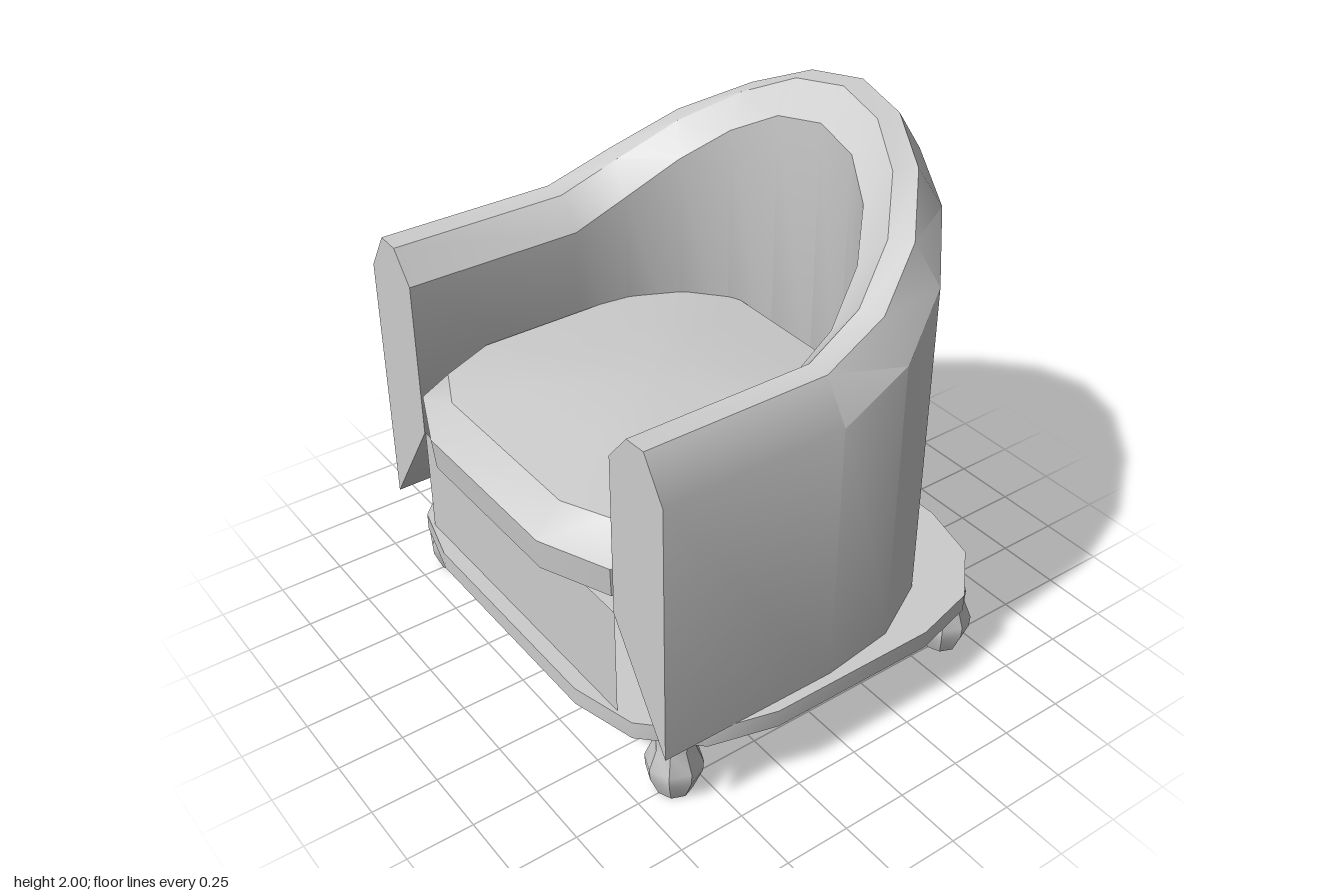
import * as THREE from 'three';
import { toCreasedNormals } from 'three/addons/utils/BufferGeometryUtils.js';

// Skin a closed surface over rings of [x, y, z] points, capped at both ends.
function loft(rings, crease = 0.6) {
  const pos = [];
  const n = rings[0].length;
  const tri = (a, b, c) => pos.push(...a, ...b, ...c);
  const centre = (ring) => [0, 1, 2].map((k) => ring.reduce((s, p) => s + p[k], 0) / n);
  const first = rings[0], last = rings[rings.length - 1];
  const c0 = centre(first), c1 = centre(last);
  for (let j = 0; j < n; j++) {
    const k = (j + 1) % n;
    for (let i = 0; i < rings.length - 1; i++) {
      const a = rings[i], b = rings[i + 1];
      tri(a[j], a[k], b[k]);
      tri(a[j], b[k], b[j]);
    }
    tri(c0, first[k], first[j]);
    tri(c1, last[j], last[k]);
  }
  const geo = new THREE.BufferGeometry();
  geo.setAttribute('position', new THREE.Float32BufferAttribute(pos, 3));
  return toCreasedNormals(geo, crease);
}

// Full outline from its +x half, listed front to back.
const mirrorOutline = (half) => [...half, ...half.map(([x, z]) => [-x, z]).reverse()];

export function createModel() {
  const group = new THREE.Group();
  const grey = new THREE.MeshStandardMaterial({ color: 0xcccccc, side: THREE.DoubleSide });
  grey.name = 'light grey';
  const add = (name, geo, x = 0, y = 0, z = 0) => {
    const mesh = new THREE.Mesh(geo, grey);
    mesh.name = name;
    mesh.position.set(x, y, z);
    group.add(mesh);
  };

  // Curved back and arms: [inner x, inner z, outer x, outer z, top height]
  const half = [
    [0.625, 0.745, 0.905, 0.745, 1.5],
    [0.625, 0.05, 0.905, 0.05, 1.5],
    [0.59, -0.15, 0.865, -0.24, 1.6],
    [0.5, -0.33, 0.73, -0.49, 1.74],
    [0.365, -0.465, 0.49, -0.71, 1.87],
    [0.2, -0.55, 0.25, -0.82, 1.965],
  ];
  const stations = [
    ...half,
    [0, -0.58, 0, -0.86, 2],
    ...half.map(([a, b, c, d, h]) => [-a, b, -c, d, h]).reverse(),
  ];
  const section = ([ix, iz, ox, oz, h]) => [
    [0, 0.76], [0, h - 0.12], [0.34, h - 0.005], [0.66, h], [1, h - 0.15], [1, 0.33],
  ].map(([t, y]) => [ix + (ox - ix) * t, y, iz + (oz - iz) * t]);
  add('backAndArms', loft(stations.map(section)));

  // Front panel under the seat
  add('frontPanel', new THREE.PlaneGeometry(1.25, 0.43), 0, 0.545, 0.742);

  // Base plate
  const plate = mirrorOutline([
    [0.45, 0.8], [0.7, 0.735], [0.88, 0.555], [0.945, 0.305],
    [0.945, -0.36], [0.88, -0.61], [0.7, -0.79], [0.45, -0.855],
  ]);
  add('basePlate', loft([0.26, 0.33].map((y) => plate.map(([x, z]) => [x, y, z]))));

  // Seat cushion: bevelled rim with a slightly domed top
  const rim = mirrorOutline([
    [0.35, 0.855], [0.61, 0.745], [0.72, 0.48], [0.72, -0.2], [0.61, -0.45], [0.35, -0.56],
  ]);
  const top = mirrorOutline([
    [0.35, 0.76], [0.52, 0.68], [0.61, 0.47], [0.61, -0.2], [0.52, -0.41], [0.35, -0.49],
  ]);
  const level = (outline, y, s) => outline.map(([x, z]) => [x * s, y, 0.14 + (z - 0.14) * s]);
  add('seatCushion', loft([
    level(rim, 0.76, 0.85), level(rim, 0.81, 0.985), level(rim, 0.93, 1),
    level(top, 1.05, 1), level(top, 1.09, 0.55), level(top, 1.108, 0.2),
  ]));

  // Turned feet
  const profile = [[0, 0], [0.066, 0], [0.1, 0.085], [0.103, 0.13], [0.073, 0.205], [0.075, 0.26]]
    .map(([r, y]) => new THREE.Vector2(r, y));
  const foot = toCreasedNormals(new THREE.LatheGeometry(profile, 8), 0.6);
  for (const side of [1, -1]) {
    const label = side > 0 ? 'left' : 'right';
    add(label + 'FrontFoot', foot, side * 0.75, 0, 0.6);
    add(label + 'BackFoot', foot, side * 0.75, 0, -0.65);
  }

  return group;
}
